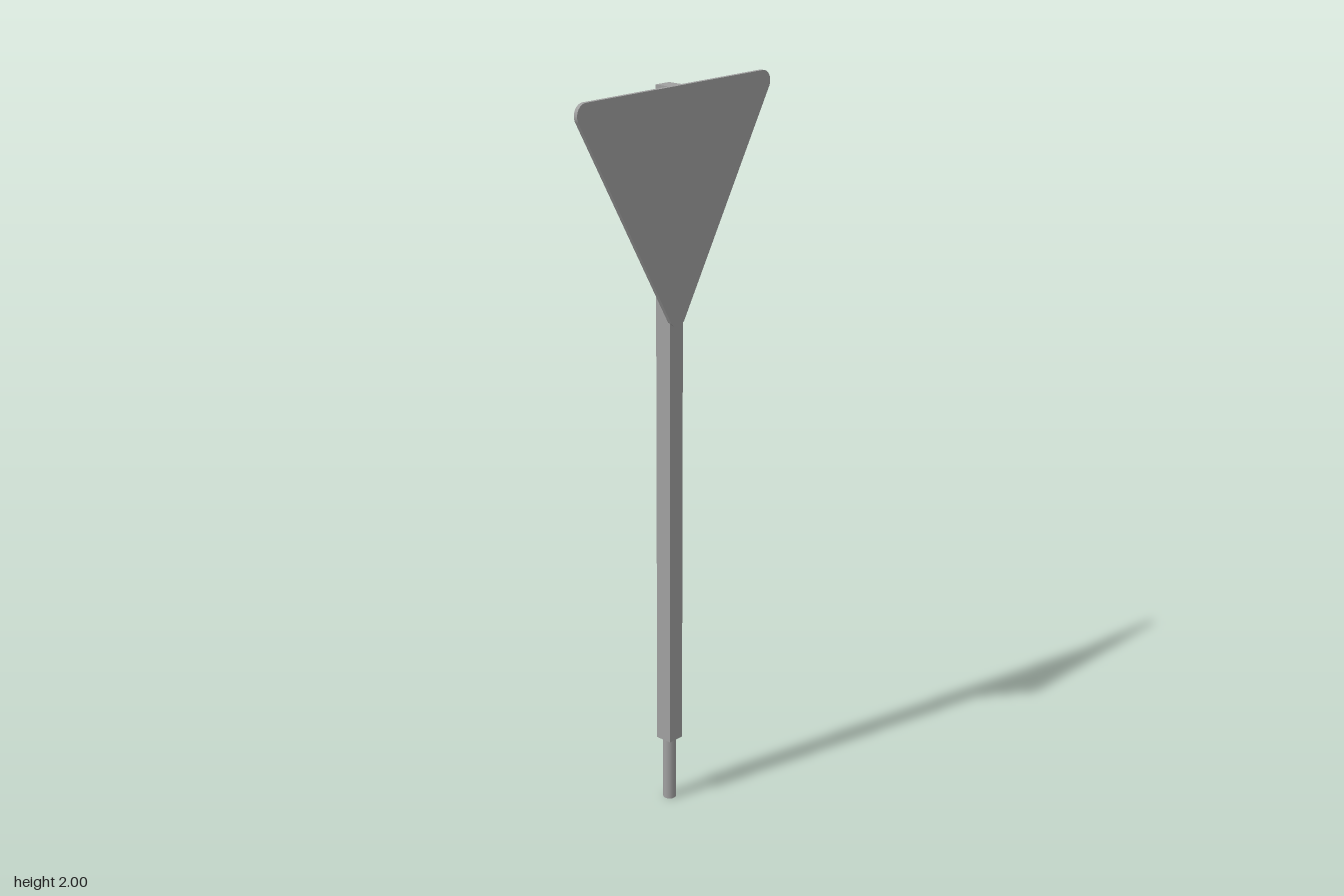
import * as THREE from 'three';

export function createModel() {
  const model = new THREE.Group();
  const grey = new THREE.MeshStandardMaterial({ color: 0xa0a0a0 });
  grey.name = 'grey metal';

  const add = (name, geometry, x, y, z) => {
    const mesh = new THREE.Mesh(geometry, grey);
    mesh.name = name;
    mesh.position.set(x, y, z);
    model.add(mesh);
  };

  const top = 2, postBottom = 0.185, postWidth = 0.049, postZ = -0.0025;

  // Square post, with a round peg below it
  add('post', new THREE.BoxGeometry(postWidth, top - postBottom, postWidth), 0, (top + postBottom) / 2, postZ);
  add('peg', new THREE.CylinderGeometry(0.018, 0.018, postBottom, 16), 0, postBottom / 2, postZ);

  // Downward-pointing equilateral sign plate with rounded corners
  const r = 0.03, a = 0.324;
  const corners = [[a, top - r, -30], [-a, top - r, 90], [0, top - r - a * Math.sqrt(3), 210]];
  const shape = new THREE.Shape();
  for (const [x, y, start] of corners) {
    const from = THREE.MathUtils.degToRad(start);
    shape.absarc(x, y, r, from, from + Math.PI * 2 / 3, false);
  }
  shape.closePath();
  const plate = new THREE.ExtrudeGeometry(shape, { depth: 0.011, bevelEnabled: false, curveSegments: 8 });
  add('signPlate', plate, 0, 0, 0.016);

  return model;
}
